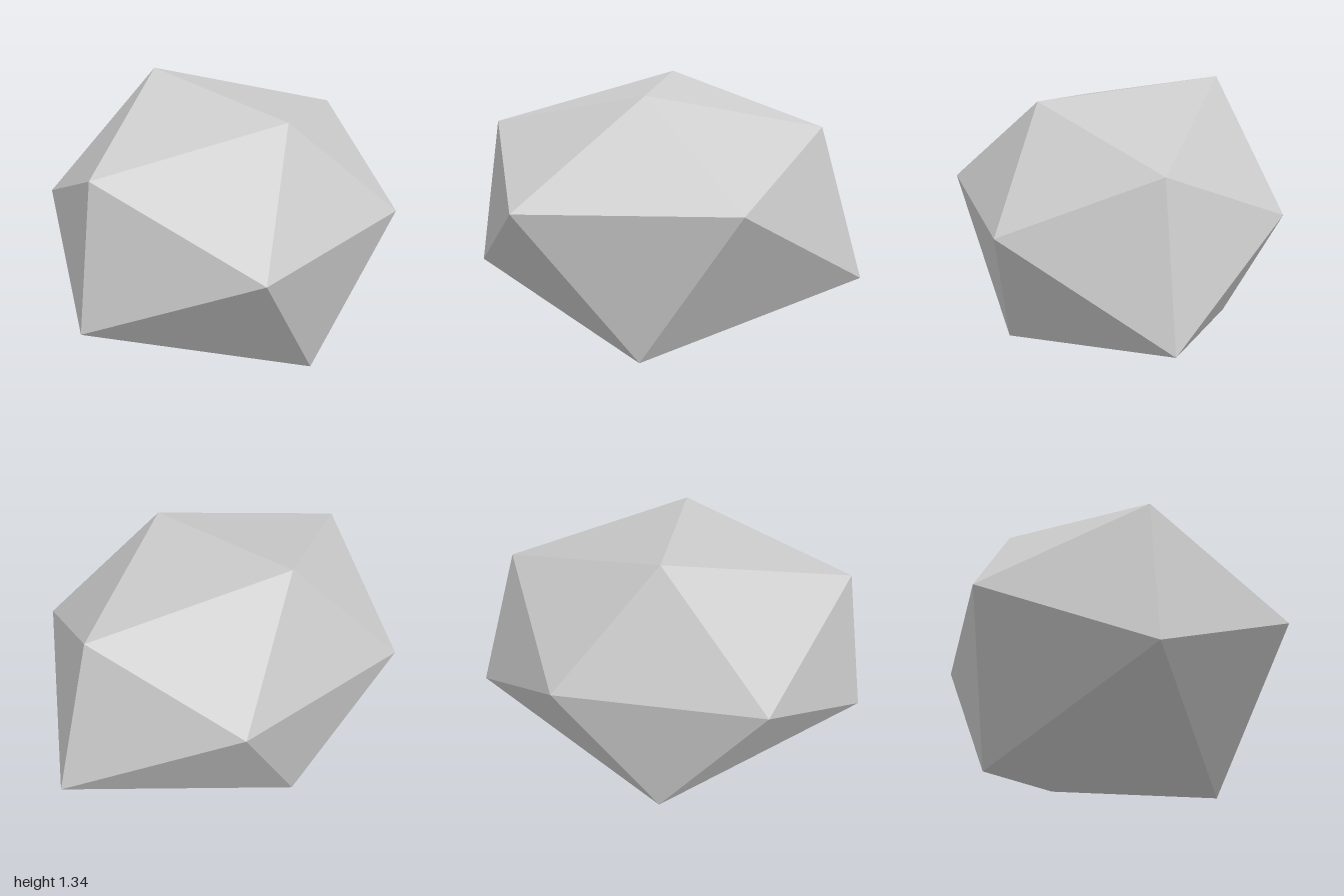
import * as THREE from 'three';

export function createModel() {
  const group = new THREE.Group();
  const grey = new THREE.MeshStandardMaterial({ color: 0xcccccc });
  grey.name = 'stone grey';

  // Twelve corners of an uneven icosahedron, keyed by the signs of their two main axes
  const side = { '1,1': [0.79, 1.08, -0.03], '1,-1': [1, 0.31, -0.03], '-1,1': [-0.9, 1.09, -0.03], '-1,-1': [-1, 0.345, -0.03] }; // x, y
  const ridge = { '1,1': [-0.04, 1.255, 0.4], '1,-1': [-0.04, 1.34, -0.525], '-1,1': [-0.04, 0, 0.58], '-1,-1': [-0.04, 0.03, -0.605] }; // y, z
  const face = { '1,1': [0.46, 0.735, 0.695], '1,-1': [0.445, 0.735, -0.73], '-1,1': [-0.6, 0.735, 0.775], '-1,-1': [-0.565, 0.735, -0.775] }; // x, z

  const centre = new THREE.Vector3(-0.03, 0.68, -0.03);
  const positions = [];

  // Adds a triangle, turned so that it faces away from the centre
  const addFace = (...corners) => {
    const [a, b, c] = corners.map((p) => new THREE.Vector3(...p));
    const normal = b.clone().sub(a).cross(c.clone().sub(a));
    const order = normal.dot(a.clone().sub(centre)) > 0 ? [a, b, c] : [a, c, b];
    order.forEach((p) => positions.push(p.x, p.y, p.z));
  };

  for (const s of [1, -1]) {
    for (const t of [1, -1]) {
      // One triangle in each octant
      for (const u of [1, -1]) addFace(side[[s, t]], ridge[[t, u]], face[[s, u]]);
      // Triangles beside each of the six axial edges
      addFace(ridge[[t, 1]], ridge[[t, -1]], side[[s, t]]);
      addFace(face[[1, t]], face[[-1, t]], ridge[[s, t]]);
      addFace(side[[s, 1]], side[[s, -1]], face[[s, t]]);
    }
  }

  const geometry = new THREE.BufferGeometry();
  geometry.setAttribute('position', new THREE.Float32BufferAttribute(positions, 3));
  geometry.computeVertexNormals();

  const rock = new THREE.Mesh(geometry, grey);
  rock.name = 'rock';
  group.add(rock);
  return group;
}
